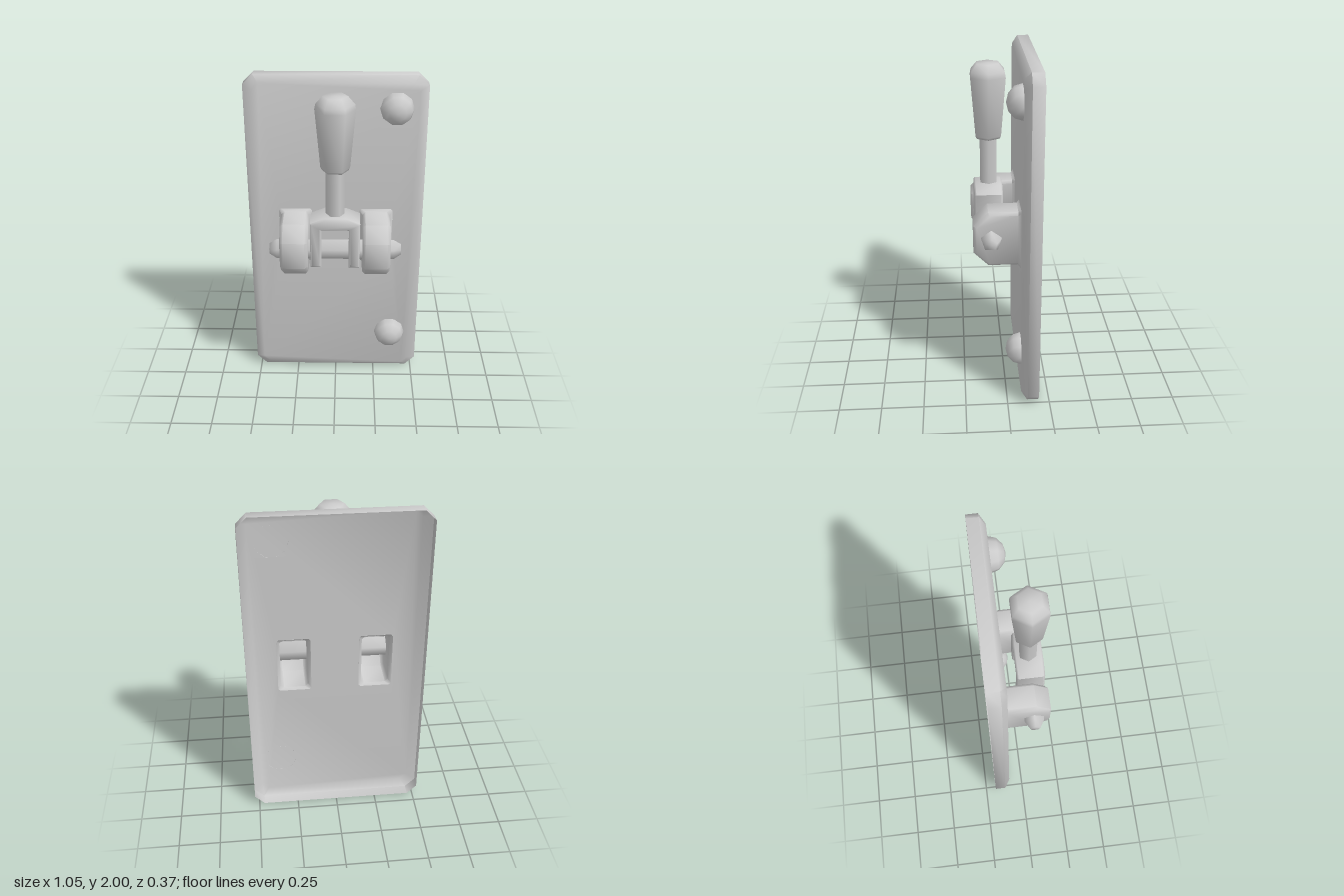
import * as THREE from 'three';
import { mergeGeometries, toCreasedNormals } from 'three/addons/utils/BufferGeometryUtils.js';

const material = new THREE.MeshStandardMaterial({ color: 0xcccccc, side: THREE.DoubleSide });

// Rectangle with cut corners, counter-clockwise, centred on (x, y)
function cutRect(x, y, w, h, c) {
  const a = w / 2, b = h / 2;
  return [[a, c - b], [a, b - c], [a - c, b], [c - a, b], [-a, b - c], [-a, c - b], [c - a, -b], [a - c, -b]]
    .map(([u, v]) => new THREE.Vector2(x + u, y + v));
}

// Skin between outlines placed from high z to low z
function loft(rings, closed) {
  const pos = [];
  const n = rings[0].points.length;
  for (let i = 0; i < rings.length - 1; i++) {
    const put = (r, j) => pos.push(r.points[j % n].x, r.points[j % n].y, r.z);
    const a = rings[i], b = rings[i + 1];
    for (let j = 0; j < (closed ? n : n - 1); j++) {
      put(a, j); put(b, j); put(a, j + 1);
      put(b, j); put(b, j + 1); put(a, j + 1);
    }
  }
  const g = new THREE.BufferGeometry();
  g.setAttribute('position', new THREE.Float32BufferAttribute(pos, 3));
  return g;
}

// Flat face with optional holes, position only so it merges with lofts
function face(points, z, holes = []) {
  const shape = new THREE.Shape(points);
  holes.forEach(h => shape.holes.push(new THREE.Path(h)));
  const g = new THREE.ShapeGeometry(shape).toNonIndexed();
  g.deleteAttribute('normal');
  g.deleteAttribute('uv');
  return g.translate(0, 0, z);
}

function join(parts, crease = 0.9) {
  const g = mergeGeometries(parts);
  g.computeVertexNormals();
  return toCreasedNormals(g, crease);
}

function lathe(profile, sides) {
  return new THREE.LatheGeometry(profile.map(p => new THREE.Vector2(...p)), sides);
}

export function createModel() {
  const model = new THREE.Group();
  const add = (name, geometry, x = 0, y = 0, z = 0) => {
    const mesh = new THREE.Mesh(geometry, material);
    mesh.name = name;
    mesh.position.set(x, y, z);
    model.add(mesh);
    return mesh;
  };
  const bracketX = 0.243, bracketW = 0.165, pivotY = 1.004, pivotZ = 0.084;

  // Open-backed plate, pierced behind the hollow brackets
  const front = cutRect(0, 1, 0.95, 1.92, 0.04);
  const rim = cutRect(0, 1, 1.054, 2, 0.06);
  const holes = [-1, 1].map(s => cutRect(s * bracketX, pivotY, bracketW + 0.035, 0.36, 0.012));
  add('backPlate', join([
    face(front, -0.085, holes),
    loft([{ points: front, z: -0.085 }, { points: rim, z: -0.118 }, { points: rim, z: -0.185 }], true),
  ]));

  // Hollow bracket: side profile lofted across its width
  const bevel = 0.018;
  const profile = inset => [
    [0.07, 0.166 - inset], [-0.1 + inset * 0.4, 0.166 - inset], [-0.185 + inset, 0.083 - inset * 0.4],
    [-0.185 + inset, -0.083 + inset * 0.4], [-0.1 + inset * 0.4, -0.166 + inset], [0.07, -0.166 + inset],
  ].map(p => new THREE.Vector2(...p));
  const outer = profile(0), inner = profile(bevel), half = bracketW / 2;
  const shell = mergeGeometries([
    face(inner, half),
    face(inner, 0).rotateY(Math.PI).scale(-1, 1, 1).translate(0, 0, -half),
    loft([
      { points: inner, z: half }, { points: outer, z: half - bevel },
      { points: outer, z: bevel - half }, { points: inner, z: -half },
    ], false),
  ]);
  // Undo the mirrored winding on the second side face
  const p = shell.attributes.position, start = face(inner, 0).attributes.position.count;
  const v1 = new THREE.Vector3(), v2 = new THREE.Vector3();
  for (let i = start; i < start * 2; i += 3) {
    const n = new THREE.Vector3().fromBufferAttribute(p, i);
    v1.fromBufferAttribute(p, i + 1);
    v2.fromBufferAttribute(p, i + 2);
    if (v1.clone().sub(n).cross(v2.clone().sub(n)).z > 0) {
      p.setXYZ(i + 1, v2.x, v2.y, v2.z);
      p.setXYZ(i + 2, v1.x, v1.y, v1.z);
    }
  }
  shell.rotateY(Math.PI / 2);
  // Flared foot where the bracket meets the plate
  const foot = loft([
    { points: cutRect(0, 0, bracketW, 0.332, bevel), z: -0.07 },
    { points: cutRect(0, 0, bracketW + 0.035, 0.36, 0.012), z: -0.086 },
  ], true);
  const bracket = join([shell, foot]);
  add('leftBracket', bracket, bracketX, pivotY, 0);
  add('rightBracket', bracket, -bracketX, pivotY, 0);

  // Five-sided axle with tapered ends
  const axle = lathe([[0, -0.39], [0.033, -0.39], [0.061, -0.345], [0.061, 0.345], [0.033, 0.39], [0, 0.39]], 5);
  axle.rotateY(-Math.PI / 2).rotateZ(-Math.PI / 2);
  add('axle', toCreasedNormals(axle, 1.3), 0, pivotY, pivotZ);

  // Fork straddling the axle
  const b = 0.01;
  const fork = new THREE.Shape([
    [0.135, 0.93], [0.135, 1.2], [0.06, 1.23], [-0.06, 1.23], [-0.135, 1.2], [-0.135, 0.93],
    [-0.09, 0.93], [-0.09, 1.175], [0.09, 1.175], [0.09, 0.93],
  ].map(q => new THREE.Vector2(...q)));
  const forkGeometry = new THREE.ExtrudeGeometry(fork, {
    depth: 0.145, bevelEnabled: true, bevelSize: b, bevelThickness: b, bevelSegments: 1,
  });
  add('fork', toCreasedNormals(forkGeometry, 0.9), 0, 0, 0.015);

  // Six-sided rod and tapered grip
  const rod = new THREE.CylinderGeometry(0.055, 0.055, 0.3, 6).rotateY(Math.PI / 2);
  add('leverRod', rod, 0, 1.375, pivotZ);
  const grip = lathe([
    [0, 1.512], [0.075, 1.512], [0.084, 1.527], [0.114, 1.87], [0.108, 1.9], [0.07, 1.944], [0, 1.944],
  ], 6).rotateY(Math.PI / 2);
  add('leverGrip', toCreasedNormals(grip, 1.1), 0, 0, pivotZ);

  // Domed rivets along one side
  const dome = new THREE.SphereGeometry(0.098, 10, 3, 0, Math.PI * 2, 0, Math.PI / 2).rotateX(Math.PI / 2);
  dome.scale(1, 1, 0.92);
  add('upperRivet', dome, 0.348, 1.815, -0.086);
  add('lowerRivet', dome, 0.348, 0.29, -0.086);

  return model;
}
